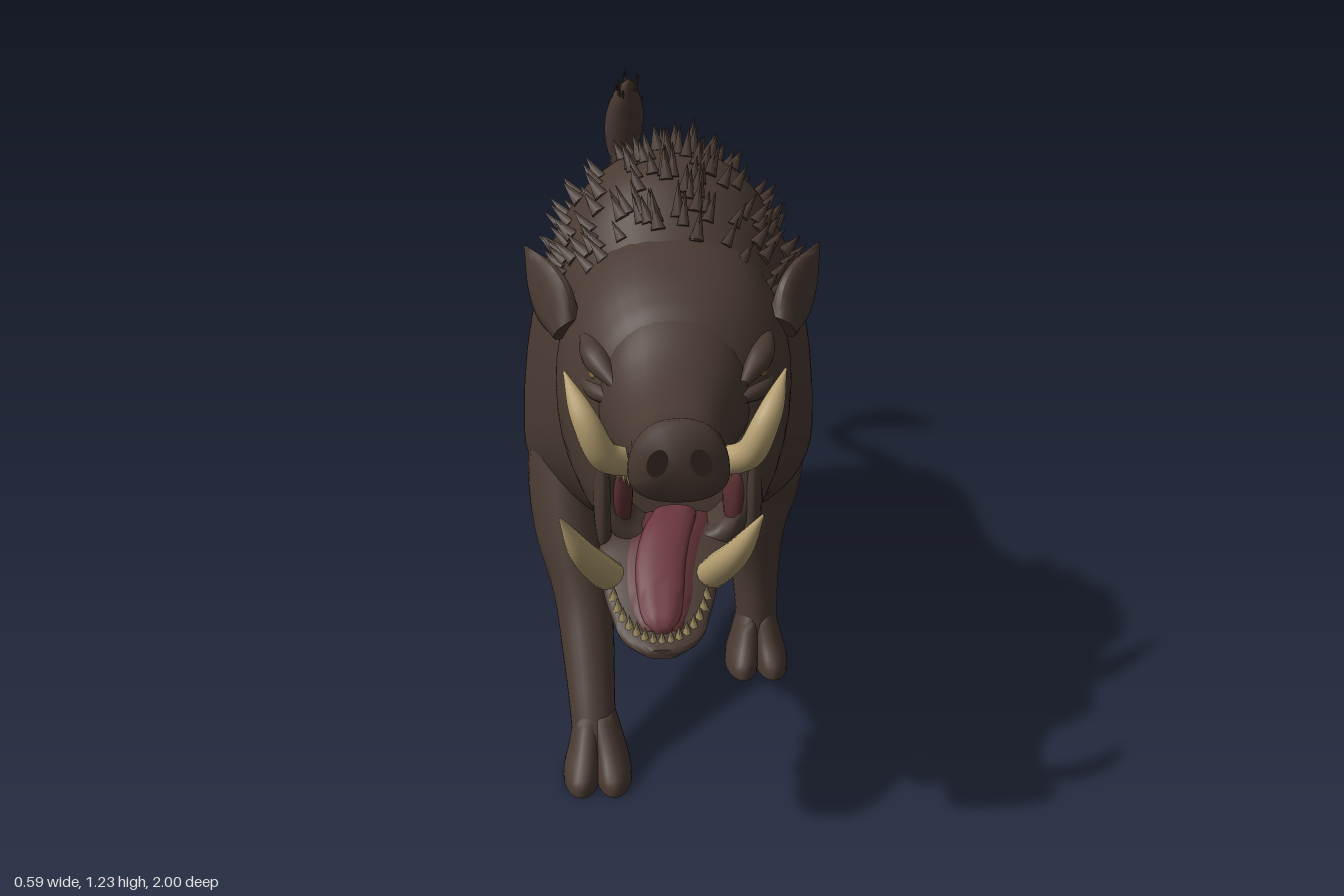
import * as THREE from 'three';
import { toCreasedNormals } from 'three/addons/utils/BufferGeometryUtils.js';

const V = (x, y, z) => new THREE.Vector3(x, y, z);
const mat = (name, color) => new THREE.MeshStandardMaterial({ name, color });

// smooth interpolation of rows [t, ...values]
function spline(rows) {
  const size = rows[0].length - 1;
  const f = new THREE.CubicInterpolant(rows.map(r => r[0]), rows.flatMap(r => r.slice(1)), size, new Float32Array(size));
  return t => Array.from(f.evaluate(t));
}

// skin closed rings, point(t, values, angle), with capped ends
function loft(rows, point, steps = 32, n = 32, crease = 1) {
  const at = spline(rows), t0 = rows[0][0], t1 = rows[rows.length - 1][0];
  const pos = [], idx = [];
  for (let i = 0; i <= steps; i++) {
    const t = t0 + (t1 - t0) * i / steps, v = at(t);
    for (let j = 0; j < n; j++) pos.push(...point(t, v, j / n * Math.PI * 2).toArray());
  }
  for (let i = 0; i < steps; i++) for (let j = 0; j < n; j++) {
    const a = i * n + j, b = i * n + (j + 1) % n;
    idx.push(a, b, b + n, a, b + n, a + n);
  }
  for (const i of [0, steps]) {
    const c = V(0, 0, 0), k = pos.length / 3;
    for (let j = 0; j < n; j++) c.add(V(...pos.slice((i * n + j) * 3, (i * n + j) * 3 + 3)));
    pos.push(...c.divideScalar(n).toArray());
    for (let j = 0; j < n; j++) {
      const a = i * n + j, b = i * n + (j + 1) % n;
      i ? idx.push(k, a, b) : idx.push(k, b, a);
    }
  }
  const g = new THREE.BufferGeometry();
  g.setAttribute('position', new THREE.Float32BufferAttribute(pos, 3));
  g.setIndex(idx);
  return toCreasedNormals(g, crease);
}

// vertical section: values = top, bottom, half width, level of greatest width
const sp = (c, p) => Math.sign(c) * Math.abs(c) ** p;
function section(z, [top, bot, w, mid], a) {
  const s = Math.sin(a);
  return V(w * sp(Math.cos(a), 0.85), mid + sp(s, 0.95) * (s > 0 ? top - mid : mid - bot), z);
}
// horizontal section: values = x, z, half x, half z
const slice = (y, [x, z, rx, rz], a) => V(x + rx * Math.cos(a), y, z - rz * Math.sin(a));

// tapered tube along points
function horn(points, radii, n = 14, steps = 24) {
  const curve = new THREE.CatmullRomCurve3(points.map(p => V(...p)));
  const g = new THREE.TubeGeometry(curve, steps, 1, n), p = g.attributes.position, v = V(0, 0, 0);
  const r = spline(radii.map((q, i) => [i / (radii.length - 1), q]));
  for (let i = 0; i < p.count; i++) {
    const t = Math.floor(i / (n + 1)) / steps, c = curve.getPointAt(t);
    v.fromBufferAttribute(p, i).sub(c).multiplyScalar(Math.max(0.001, r(t)[0])).add(c);
    p.setXYZ(i, v.x, v.y, v.z);
  }
  g.computeVertexNormals();
  return g;
}

// swing the front of a face part towards -x
function swing(g, amount) {
  const p = g.attributes.position;
  for (let i = 0; i < p.count; i++) p.setX(i, p.getX(i) - amount * THREE.MathUtils.smoothstep(p.getZ(i), 0.58, 0.8));
  return g;
}
const upper = g => swing(g, 0.013), lower = g => swing(g, 0.038);

function spike(from, dir, len, r, n = 6) {
  const g = new THREE.ConeGeometry(r, len, n).translate(0, len * 0.4, 0);
  g.applyQuaternion(new THREE.Quaternion().setFromUnitVectors(V(0, 1, 0), dir.clone().normalize()));
  return g.translate(from.x, from.y, from.z);
}

function ball(x, y, z, rx, ry, rz) {
  return new THREE.SphereGeometry(1, 18, 12).scale(rx, ry, rz).translate(x, y, z);
}

export function createModel() {
  const model = new THREE.Group();
  const hide = mat('hide', 0x493a32), ivory = mat('ivory', 0xb39d6f), flesh = mat('flesh', 0x5c2f31);
  const tongueRed = mat('tongueRed', 0x6b373c), throatBrown = mat('throatBrown', 0x57443a);
  const dark = mat('dark', 0x32261f), amber = mat('amber', 0x7a5d33);
  const add = (name, g, m = hide, parent = model) => {
    const mesh = new THREE.Mesh(g, m);
    mesh.name = name;
    parent.add(mesh);
  };
  const group = name => { const g = new THREE.Group(); g.name = name; model.add(g); return g; };
  let seed = 7;
  const rnd = () => (seed = (seed * 16807) % 2147483647) / 2147483647;

  // trunk with shoulder hump
  const trunk = [
    [-0.665, 0.73, 0.53, 0.1, 0.65], [-0.64, 0.79, 0.48, 0.165, 0.65], [-0.58, 0.85, 0.44, 0.193, 0.65],
    [-0.45, 0.912, 0.43, 0.205, 0.66], [-0.3, 0.93, 0.435, 0.197, 0.66], [-0.15, 0.96, 0.405, 0.182, 0.65],
    [0, 1.03, 0.375, 0.205, 0.62], [0.12, 1.125, 0.362, 0.26, 0.6], [0.24, 1.185, 0.38, 0.295, 0.6],
    [0.36, 1.17, 0.43, 0.27, 0.66], [0.47, 1.095, 0.47, 0.226, 0.72], [0.55, 1.04, 0.52, 0.18, 0.75]];
  add('trunk', loft(trunk, section, 56, 44));

  // bristles over the hump
  const bristles = group('bristles'), trunkAt = spline(trunk);
  for (let i = 0; i < 150; i++) {
    const z = 0.49 * rnd(), crest = i < 32;
    const a = Math.PI / 2 + (rnd() - 0.5) * (crest ? 0.5 : 1.9), v = trunkAt(z), p = section(z, v, a);
    const dir = V(p.x / v[2] ** 2, (p.y - v[3]) / (v[0] - v[3]) ** 2, 0).normalize();
    dir.add(V(0, 0.25, -0.75));
    add('bristle', spike(p, dir, (crest ? 0.055 : 0.04) + 0.025 * rnd(), 0.012 + 0.005 * rnd(), 6), hide, bristles);
  }

  // head, its skin turning in at the lips to form the mouth cavity: rows of [step, z, section]
  add('head', loft([
    [0, 0.38, 1.08, 0.5, 0.2, 0.78], [0.08, 0.46, 1.085, 0.475, 0.224, 0.79], [0.18, 0.56, 1.055, 0.487, 0.217, 0.8],
    [0.25, 0.63, 1.022, 0.495, 0.197, 0.78], [0.3, 0.68, 0.985, 0.5, 0.17, 0.76], [0.32, 0.7, 0.95, 0.51, 0.153, 0.73],
    [0.34, 0.707, 0.87, 0.535, 0.133, 0.69], [0.36, 0.7, 0.765, 0.56, 0.113, 0.65], [0.4, 0.66, 0.755, 0.56, 0.105, 0.65],
    [0.46, 0.6, 0.75, 0.56, 0.1, 0.65]], (t, [z, ...v], a) => section(z, v, a), 46, 40));

  // mouth lining
  const mouth = group('mouth');
  const throat = [[-0.1, 0.56], [0.1, 0.56], [0.1, 0.75], [-0.1, 0.75]].map(p => new THREE.Vector2(...p));
  add('throat', new THREE.ShapeGeometry(new THREE.Shape(throat)).translate(0, 0, 0.608), throatBrown, mouth);
  for (const s of [-1, 1]) {
    add('cheekFlesh', ball(s * 0.11, 0.645, 0.66, 0.027, 0.095, 0.05), flesh, mouth);
    add('cheekSkin', ball(s * 0.138, 0.65, 0.668, 0.02, 0.13, 0.05), hide, mouth);
  }

  // upper snout with blunt nose
  add('snout', upper(loft([
    [0.58, 1.035, 0.74, 0.15, 0.84], [0.68, 0.985, 0.722, 0.142, 0.82], [0.75, 0.94, 0.73, 0.122, 0.81],
    [0.82, 0.912, 0.75, 0.1, 0.81], [0.9, 0.9, 0.766, 0.085, 0.82], [0.96, 0.912, 0.766, 0.086, 0.82],
    [0.99, 0.918, 0.768, 0.086, 0.82], [1.0, 0.91, 0.778, 0.078, 0.82]], section, 36, 32)));
  add('palate', upper(ball(0, 0.752, 0.73, 0.09, 0.024, 0.12)), flesh, mouth);

  // lower jaw
  add('lowerJaw', lower(loft([
    [0.58, 0.565, 0.505, 0.1, 0.54], [0.64, 0.575, 0.492, 0.125, 0.54], [0.7, 0.572, 0.488, 0.128, 0.54], [0.77, 0.54, 0.48, 0.11, 0.515],
    [0.84, 0.492, 0.452, 0.09, 0.475], [0.89, 0.458, 0.43, 0.066, 0.447], [0.915, 0.445, 0.427, 0.03, 0.436]], section, 28, 28)));
  add('jawFlesh', lower(loft([
    [0.61, 0.58, 0.55, 0.075, 0.56], [0.7, 0.58, 0.54, 0.075, 0.555], [0.76, 0.553, 0.51, 0.072, 0.53], [0.83, 0.508, 0.47, 0.062, 0.485],
    [0.88, 0.472, 0.45, 0.035, 0.46]], section, 16, 20)), flesh, mouth);
  add('tongue', lower(loft([
    [0.62, 0.595, 0.56, 0.04, 0.58], [0.69, 0.594, 0.55, 0.047, 0.572], [0.76, 0.564, 0.52, 0.048, 0.542], [0.83, 0.52, 0.48, 0.042, 0.5],
    [0.87, 0.49, 0.46, 0.03, 0.475], [0.885, 0.476, 0.46, 0.015, 0.467]], section, 16, 18)), tongueRed, mouth);

  // small teeth along both jaws
  const teeth = group('teeth');
  for (let i = 0; i < 19; i++) {
    const a = (i / 18 - 0.5) * Math.PI, c = Math.cos(a), z = 0.77 + 0.125 * c;
    add('lowerTooth', lower(spike(V(0.09 * Math.sin(a), 0.522 - 0.075 * c, z), V(0, 1, 0.2), 0.034, 0.0105)), ivory, teeth);
  }

  for (const s of [-1, 1]) {
    for (let i = 0; i < 4; i++)
      add('upperTooth', upper(spike(V(s * (0.105 - i * 0.008), 0.752 + i * 0.005, 0.76 + i * 0.025), V(0, -1, 0), 0.045, 0.012)), ivory, teeth);

    // tusks
    add('upperTusk', upper(horn([[s * 0.08, 0.79, 0.865], [s * 0.125, 0.815, 0.895], [s * 0.157, 0.88, 0.895], [s * 0.193, 0.95, 0.835]],
      [0.026, 0.027, 0.021, 0.002])), ivory);
    add('lowerTusk', lower(horn([[s * 0.082, 0.5, 0.745], [s * 0.108, 0.55, 0.8], [s * 0.14, 0.605, 0.845], [s * 0.18, 0.692, 0.88]],
      [0.028, 0.029, 0.022, 0.002])), ivory);

    // nostrils, eyes and brows
    add('nostril', upper(new THREE.CircleGeometry(1, 16).scale(0.018, 0.026, 1).rotateZ(s * 0.3).translate(s * 0.037, 0.845, 1.001)), dark);
    add('eye', ball(s * 0.153, 0.878, 0.663, 0.009, 0.009, 0.015), amber);
    add('brow', horn([[s * 0.165, 0.925, 0.6], [s * 0.152, 0.912, 0.66], [s * 0.115, 0.88, 0.73]], [0.015, 0.024, 0.008]));
    add('eyeBag', horn([[s * 0.175, 0.87, 0.61], [s * 0.155, 0.852, 0.665], [s * 0.115, 0.85, 0.73]], [0.01, 0.018, 0.008]));

    // leaf-shaped ears, swept out and back
    const y = V(s * 0.075, 0.12, -0.11).normalize(), z = V(s * 0.8, 0, 0.8);
    z.addScaledVector(y, -z.dot(y)).normalize();
    const ear = loft([[0, 0, 0, 0.035, 0.028], [0.06, 0, 0, 0.058, 0.022], [0.12, 0, 0, 0.046, 0.015], [0.19, 0, 0, 0.002, 0.002]], slice, 14, 18);
    ear.applyMatrix4(new THREE.Matrix4().makeBasis(y.clone().cross(z), y, z).setPosition(s * 0.2, 0.92, 0.54));
    add('ear', ear);
  }

  // legs: rows of [y, x, z, half x, half z], then cloven foot [x, back z, front z]
  const legs = {
    leftFrontLeg: [[[0.035, 0.195, 0.14, 0.045, 0.06], [0.12, 0.196, 0.137, 0.045, 0.057], [0.22, 0.193, 0.132, 0.051, 0.059],
      [0.32, 0.193, 0.142, 0.06, 0.068], [0.42, 0.205, 0.15, 0.075, 0.082], [0.55, 0.21, 0.17, 0.077, 0.115], [0.74, 0.19, 0.2, 0.05, 0.1]], [0.195, 0.075, 0.26]],
    rightFrontLeg: [[[0.035, -0.158, 0.6, 0.045, 0.06], [0.12, -0.163, 0.565, 0.045, 0.053], [0.22, -0.17, 0.49, 0.052, 0.066],
      [0.32, -0.18, 0.415, 0.06, 0.08], [0.42, -0.2, 0.345, 0.075, 0.105], [0.55, -0.21, 0.28, 0.077, 0.12], [0.74, -0.19, 0.24, 0.05, 0.1]], [-0.155, 0.53, 0.71]],
    leftHindLeg: [[[0.035, 0.13, -0.41, 0.045, 0.055], [0.12, 0.135, -0.442, 0.042, 0.053], [0.2, 0.14, -0.535, 0.043, 0.063],
      [0.27, 0.145, -0.582, 0.048, 0.066], [0.35, 0.15, -0.562, 0.058, 0.095], [0.45, 0.148, -0.515, 0.068, 0.142], [0.6, 0.142, -0.5, 0.07, 0.155],
      [0.78, 0.115, -0.49, 0.05, 0.11]], [0.135, -0.48, -0.3]],
    rightHindLeg: [[[0.035, -0.16, -0.835, 0.045, 0.055], [0.12, -0.16, -0.835, 0.042, 0.052], [0.2, -0.16, -0.837, 0.043, 0.052],
      [0.28, -0.16, -0.812, 0.047, 0.056], [0.36, -0.157, -0.752, 0.054, 0.075], [0.45, -0.15, -0.67, 0.064, 0.098], [0.58, -0.142, -0.56, 0.07, 0.115],
      [0.76, -0.115, -0.51, 0.05, 0.1]], [-0.16, -0.91, -0.72]],
  };
  for (const [name, [rows, [x, zb, zf]]] of Object.entries(legs)) {
    const leg = group(name), zc = (zb + zf) / 2, h = (zf - zb) / 2, top = rows[1];
    add('limb', loft(rows, slice, 30, 24), hide, leg);
    for (const s of [-1, 1])
      add('toe', loft([[0.012, x + s * 0.032, zc, 0.036, h], [0.035, x + s * 0.031, zc, 0.035, h * 0.97],
        [0.07, x + s * 0.024, zc * 0.6 + top[2] * 0.4, 0.032, h * 0.74],
        [0.13, (x + top[1]) / 2 + s * 0.012, top[2], 0.028, top[4] * 0.88]], slice, 12, 20), hide, leg);
  }

  // tail with a feathered tuft
  const tail = group('tail');
  add('tailStem', horn([[0, 0.78, -0.55], [0.01, 0.795, -0.64], [0.01, 0.755, -0.74], [-0.02, 0.724, -0.82], [-0.05, 0.74, -0.9], [-0.062, 0.86, -0.94]],
    [0.05, 0.036, 0.023, 0.02, 0.021, 0.022], 14, 36), hide, tail);
  const tuft = [[-0.063, 0.8, -0.928], [-0.065, 0.88, -0.94], [-0.06, 0.96, -0.92], [-0.055, 1.02, -0.88], [-0.05, 1.07, -0.835]];
  add('tuftCore', horn(tuft, [0.018, 0.042, 0.048, 0.034, 0.002]), hide, tail);
  const tuftCurve = new THREE.CatmullRomCurve3(tuft.map(p => V(...p)));
  for (let i = 0; i < 44; i++) {
    const t = 0.08 + 0.66 * rnd(), a = i * 2.4, r = 0.032 * Math.sin(Math.PI * Math.min(1, t + 0.2));
    const out = V(Math.cos(a) * 0.8, 0, Math.sin(a));
    const p = tuftCurve.getPointAt(t).addScaledVector(out, r);
    add('tuftLock', spike(p, tuftCurve.getTangentAt(t).addScaledVector(out, 0.25), 0.08 + 0.03 * rnd(), 0.016, 5), hide, tail);
  }
  return model;
}
